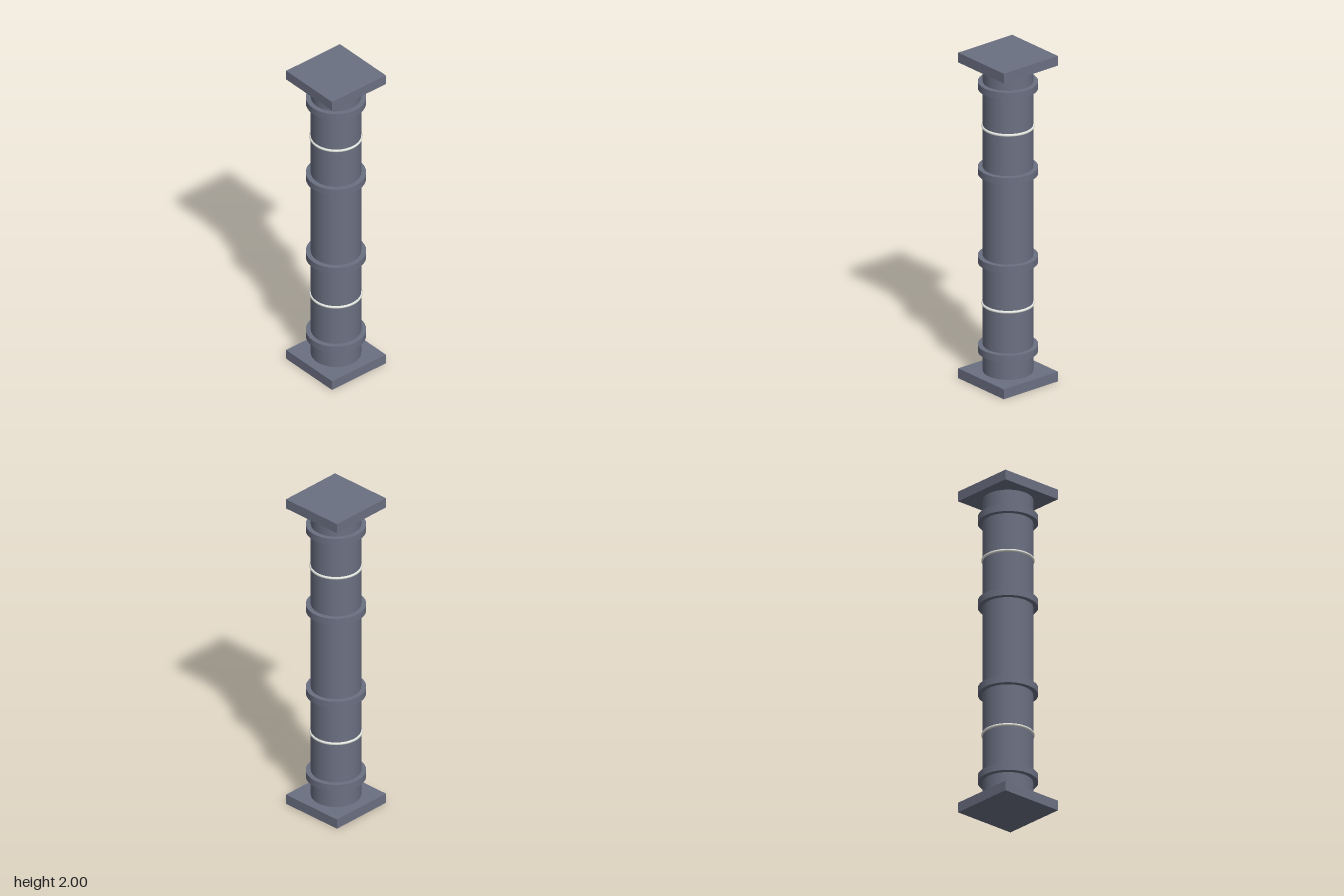
import * as THREE from 'three';

export function createModel() {
  const column = new THREE.Group();
  column.name = 'column';
  const stone = new THREE.MeshStandardMaterial({ color: 0x6b7082 });
  stone.name = 'slate grey';
  const pale = new THREE.MeshStandardMaterial({ color: 0xe4e6e0 });
  pale.name = 'pale trim';

  const add = (name, geometry, material, y) => {
    const mesh = new THREE.Mesh(geometry, material);
    mesh.name = name;
    mesh.position.y = y;
    column.add(mesh);
    return mesh;
  };

  // Square plates at both ends
  const plate = new THREE.BoxGeometry(0.4, 0.06, 0.4);
  add('basePlate', plate, stone, 0.03);
  add('topPlate', plate, stone, 1.97);

  // Round shaft between the plates
  add('shaft', new THREE.CylinderGeometry(0.143, 0.143, 1.88, 48, 1, true), stone, 1);

  // Wide collars
  const collar = new THREE.CylinderGeometry(0.171, 0.171, 0.042, 48);
  [0.2, 0.747, 1.291, 1.815].forEach((y, i) => add(`collar${i + 1}`, collar, stone, y));

  // Thin pale rings
  const ring = new THREE.TorusGeometry(0.143, 0.0085, 8, 48).rotateX(Math.PI / 2);
  [0.475, 1.562].forEach((y, i) => add(`trimRing${i + 1}`, ring, pale, y));

  return column;
}
